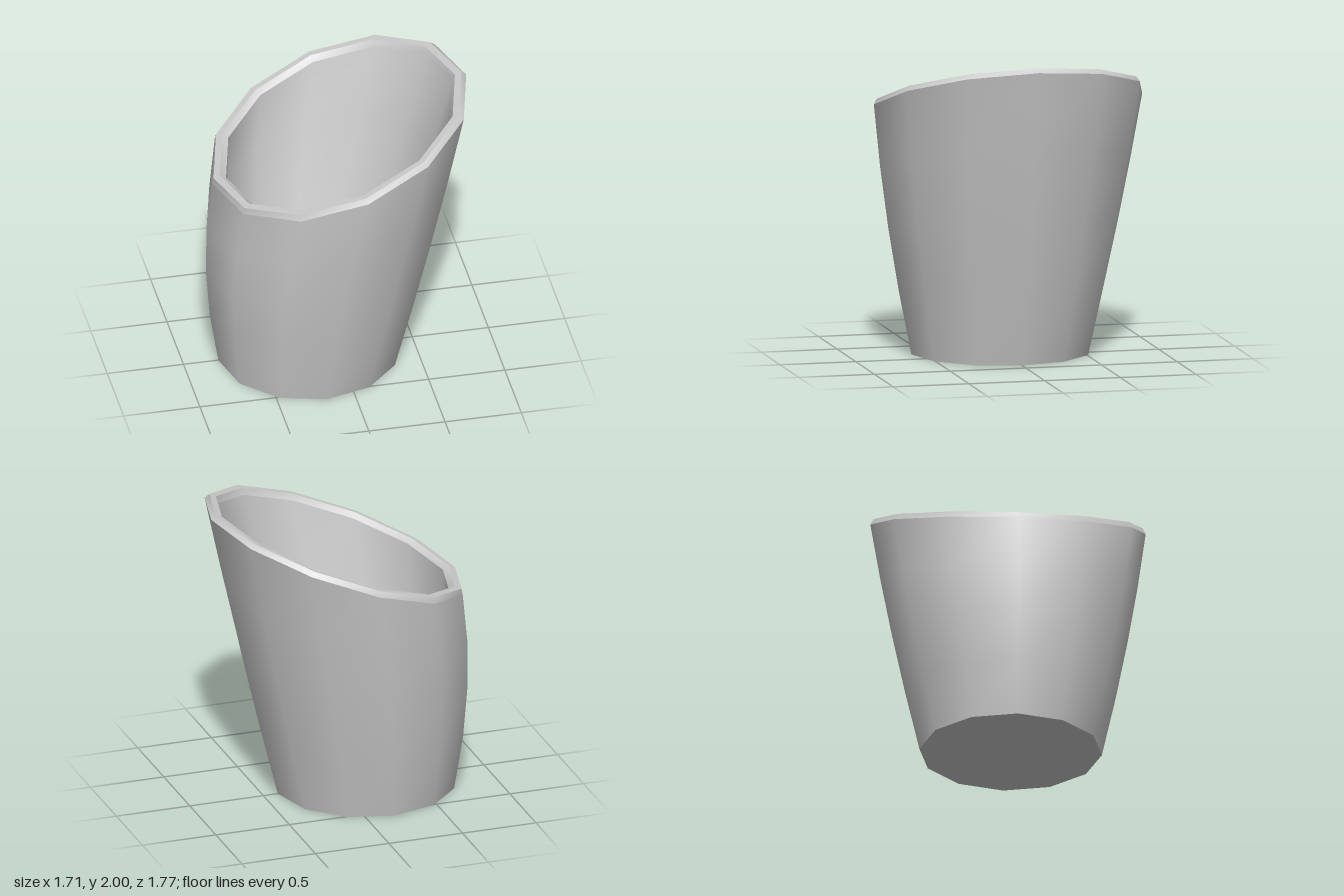
import * as THREE from 'three';

const SIDES = 12;
const TILT = THREE.MathUtils.degToRad(20);

// A ring: centre (x, y), radius r, tilted about z so that its +x side rises
const ring = (x, y, r, tilt = 0) => ({ x, y, r, tilt });

// Smooth-shaded skin through consecutive rings
function skin(rings) {
  const pos = [], index = [];
  for (const { x, y, r, tilt } of rings) {
    for (let i = 0; i < SIDES; i++) {
      const a = (i / SIDES) * Math.PI * 2, u = Math.cos(a) * r;
      pos.push(x + u * Math.cos(tilt), y + u * Math.sin(tilt), Math.sin(a) * r);
    }
  }
  for (let k = 0; k < rings.length - 1; k++) {
    for (let i = 0; i < SIDES; i++) {
      const a = k * SIDES + i, b = k * SIDES + (i + 1) % SIDES;
      index.push(a, a + SIDES, b);
      index.push(b, a + SIDES, b + SIDES);
    }
  }
  const g = new THREE.BufferGeometry();
  g.setAttribute('position', new THREE.Float32BufferAttribute(pos, 3));
  g.setIndex(index);
  g.computeVertexNormals();
  return g;
}

export function createModel() {
  const group = new THREE.Group();
  group.name = 'slantedCup';
  const material = new THREE.MeshStandardMaterial({ color: 0xcccccc });
  const add = (name, rings) => {
    const mesh = new THREE.Mesh(skin(rings), material);
    mesh.name = name;
    group.add(mesh);
  };

  // Outer wall leans toward +x, widens and tilts as it rises
  const outer = [], inner = [];
  for (let k = 0; k <= 4; k++) {
    const t = k / 4;
    const x = -0.185 + 0.105 * t + 0.102 * t * t;
    outer.push(ring(x, 1.672 * t, 0.587 + 0.385 * t - 0.086 * t * t, TILT * t));
    inner.push(ring(x, 0.1 + 1.572 * t, 0.37 + 0.5 * t - 0.08 * t * t, TILT * t));
  }
  inner.reverse();

  // Rim edges, raised along the tilted normal
  const rimOuter = ring(0.01, 1.705, 0.865, TILT);
  const rimInner = ring(0.01, 1.705, 0.82, TILT);

  add('base', [ring(-0.185, 0, 0), outer[0]]);
  add('outerWall', outer);
  add('rimOuterBevel', [outer[4], rimOuter]);
  add('rimTop', [rimOuter, rimInner]);
  add('rimInnerBevel', [rimInner, inner[0]]);
  add('innerWall', inner);
  add('innerFloor', [inner[4], ring(-0.185, 0.1, 0)]);
  return group;
}
